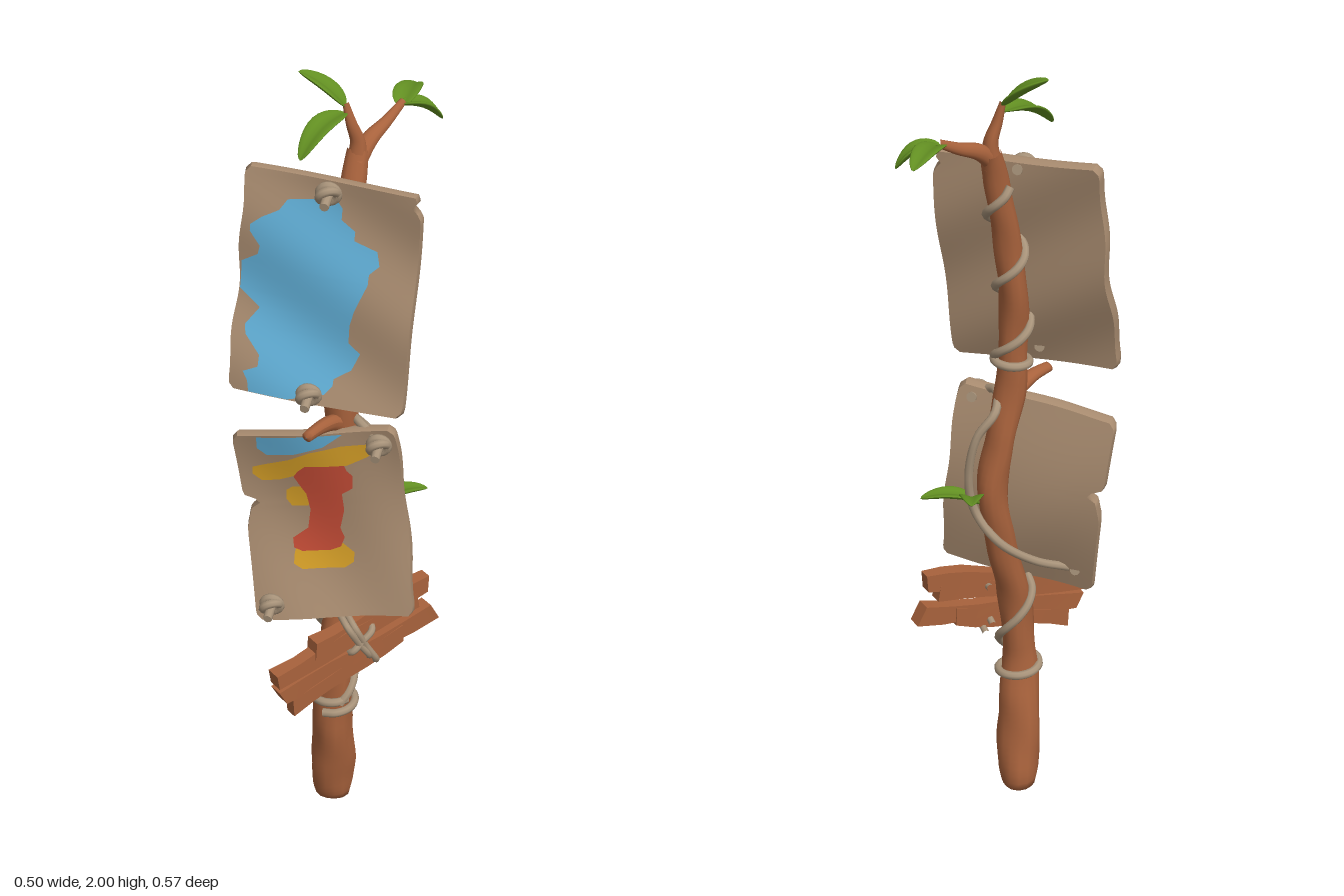
import * as THREE from 'three';

const mat = (name, color, side = THREE.FrontSide) => {
  const m = new THREE.MeshStandardMaterial({ color, side });
  m.name = name;
  return m;
};
const V = (a) => new THREE.Vector3(a[0], a[1], a[2]);

// Trunk spine: x, y, z, radius
const TRUNK = [
  [0, 0.0, 0.05, 0.002], [0, 0.012, 0.05, 0.042], [0, 0.05, 0.053, 0.052], [0.002, 0.14, 0.07, 0.055],
  [0.005, 0.27, 0.088, 0.052], [0.01, 0.4, 0.1, 0.042], [0.02, 0.58, 0.088, 0.042], [0.045, 0.74, 0.05, 0.036],
  [0.062, 0.9, 0.025, 0.038], [0.045, 1.02, 0.04, 0.036], [0.025, 1.15, 0.06, 0.038], [0.018, 1.28, 0.06, 0.036],
  [0.012, 1.42, 0.047, 0.035], [0.028, 1.6, 0.028, 0.032], [0.045, 1.73, 0.0, 0.03], [0.052, 1.81, -0.025, 0.024],
];

// Tapered organic limb swept along [x, y, z, radius] points
function limb(pts, lump = 0.06, sides = 14) {
  const curve = new THREE.CatmullRomCurve3(pts.map(V));
  const n = pts.length * 6;
  const geo = new THREE.TubeGeometry(curve, n, 1, sides, false);
  const p = geo.attributes.position, v = new THREE.Vector3();
  for (let i = 0; i <= n; i++) {
    const c = curve.getPointAt(i / n);
    const t = curve.getUtoTmapping(i / n) * (pts.length - 1);
    const k = Math.min(Math.floor(t), pts.length - 2);
    const r = THREE.MathUtils.lerp(pts[k][3], pts[k + 1][3], t - k);
    for (let j = 0; j <= sides; j++) {
      const id = i * (sides + 1) + j, a = (j / sides) * Math.PI * 2;
      const s = r * (1 + lump * Math.sin(3 * a + c.y * 14) + lump * 0.7 * Math.sin(2 * a - c.y * 31));
      v.fromBufferAttribute(p, id).sub(c).multiplyScalar(s).add(c);
      p.setXYZ(id, v.x, v.y, v.z);
    }
  }
  geo.computeVertexNormals();
  return geo;
}

// Point on a warped board: u left to right, v bottom to top, d outward from the front
function boardPoint(b, u, v, d) {
  const bottom = V(b.bl).lerp(V(b.br), u), top = V(b.tl).lerp(V(b.tr), u);
  const n = V(b.br).sub(V(b.bl)).cross(V(b.tl).sub(V(b.bl))).normalize();
  return bottom.lerp(top, v).addScaledVector(n, b.bend(u, v) + d);
}

function boardGeometry(b) {
  const geo = new THREE.BoxGeometry(1, 1, 1, 32, 40, 2);
  const p = geo.attributes.position;
  for (let i = 0; i < p.count; i++) {
    const v = p.getY(i) + 0.5, w = p.getZ(i);
    const e = Math.max(0, 0.05 - Math.min(v, 1 - v)) / 0.05;
    const round = 0.035 * (1 - Math.sqrt(1 - e * e));
    const lo = round + b.left(v), hi = 1 - round - b.right(v);
    let u = lo + (hi - lo) * (p.getX(i) + 0.5);
    const bevel = Math.abs(w) > 0.4 ? 0.008 : 0;
    u += (0.5 - u) * bevel * 2;
    const q = boardPoint(b, u, v + (0.5 - v) * bevel * 2, (w - 0.5) * b.thick);
    p.setXYZ(i, q.x, q.y, q.z);
  }
  geo.computeVertexNormals();
  return geo;
}

// Thin paint skin on a board, from rows of [v, uStart, uEnd]
function paintGeometry(b, rows, lift) {
  const N = 10, S = 4, pos = [], idx = [];
  const total = (rows.length - 1) * S;
  for (let i = 0; i <= total; i++) {
    const k = Math.min(Math.floor(i / S), rows.length - 2), f = i / S - k;
    const [v, a, c] = rows[k].map((x, m) => THREE.MathUtils.lerp(x, rows[k + 1][m], f));
    for (let j = 0; j <= N; j++) {
      pos.push(...boardPoint(b, a + ((c - a) * j) / N, v, lift).toArray());
      if (i < total && j < N) {
        const q = i * (N + 1) + j, r = q + N + 1;
        idx.push(q, r, q + 1, r, r + 1, q + 1);
      }
    }
  }
  const geo = new THREE.BufferGeometry();
  geo.setAttribute('position', new THREE.Float32BufferAttribute(pos, 3));
  geo.setIndex(idx);
  geo.computeVertexNormals();
  return geo;
}

// Arched, creased leaf from base to tip
function leafGeometry(base, tip, width, arch) {
  const geo = new THREE.SphereGeometry(1, 16, 14);
  const p = geo.attributes.position;
  const d = V(tip).sub(V(base)), len = d.length();
  d.normalize();
  const side = d.clone().cross(new THREE.Vector3(0, 1, 0)).normalize();
  const n = side.clone().cross(d);
  for (let i = 0; i < p.count; i++) {
    const t = (p.getY(i) + 1) / 2, x = p.getX(i) * (1.25 - 0.5 * t);
    const h = p.getZ(i) * 0.007 + arch * Math.sin(Math.PI * t) + 0.012 * Math.abs(x);
    p.setXYZ(i, x * width / 2, t * len, h);
  }
  geo.applyMatrix4(new THREE.Matrix4().makeBasis(side, d, n).setPosition(V(base)));
  geo.computeVertexNormals();
  return geo;
}

const rope = (pts, r = 0.011) =>
  new THREE.TubeGeometry(new THREE.CatmullRomCurve3(pts.map(V)), pts.length * 6, r, 8, false);

// Coil around the trunk between two heights
function coil(y0, y1, turns, phase, gap = 0.006) {
  const pts = [], n = Math.ceil(Math.abs(turns) * 10);
  for (let i = 0; i <= n; i++) {
    const y = y0 + ((y1 - y0) * i) / n, a = phase + (turns * Math.PI * 2 * i) / n;
    const k = TRUNK.findIndex((q) => q[1] > y), A = TRUNK[k - 1], B = TRUNK[k];
    const c = A.map((x, m) => THREE.MathUtils.lerp(x, B[m], (y - A[1]) / (B[1] - A[1])));
    pts.push([c[0] + (c[3] + gap) * Math.cos(a), y, c[2] + (c[3] + gap) * Math.sin(a)]);
  }
  return rope(pts);
}

export function createModel() {
  const bark = mat('bark', 0xa8623c), wood = mat('boardWood', 0xa98c70), cord = mat('cord', 0xa8937a);
  const green = mat('leafGreen', 0x639022);
  const blue = mat('bluePaint', 0x62b0d8, THREE.DoubleSide);
  const yellow = mat('yellowPaint', 0xd8a128, THREE.DoubleSide);
  const red = mat('redPaint', 0xc44c36, THREE.DoubleSide);
  const group = new THREE.Group();
  const add = (name, geo, m) => {
    const mesh = new THREE.Mesh(geo, m);
    mesh.name = name;
    group.add(mesh);
    return mesh;
  };

  // Trunk, forked top, side spike and twig
  add('trunk', limb(TRUNK), bark);
  add('frontBranch', limb([[0.05, 1.77, -0.015, 0.024], [0.052, 1.83, -0.02, 0.018], [0.038, 1.88, -0.012, 0.013], [0.025, 1.93, -0.01, 0.007]]), bark);
  add('backBranch', limb([[0.05, 1.78, -0.01, 0.022], [0.075, 1.82, -0.05, 0.02], [0.11, 1.845, -0.1, 0.014], [0.145, 1.875, -0.15, 0.009]]), bark);
  add('spike', limb([[0.03, 1.13, 0.06, 0.026], [0.005, 1.155, 0.1, 0.02], [-0.02, 1.165, 0.145, 0.016], [-0.045, 1.165, 0.19, 0.013], [-0.047, 1.165, 0.194, 0.001]]), bark);
  add('twig', limb([[0.06, 0.87, 0.025, 0.009], [0.085, 0.872, 0.01, 0.007], [0.11, 0.88, -0.01, 0.005]]), green);

  // Leaves
  [
    [[0.025, 1.92, -0.01], [-0.082, 1.995, -0.025], 0.065, 0.006],
    [[0.025, 1.905, -0.01], [-0.065, 1.84, 0.112], 0.066, 0.02],
    [[0.14, 1.865, -0.14], [0.17, 1.862, -0.285], 0.062, 0.012],
    [[0.14, 1.87, -0.145], [0.235, 1.82, -0.185], 0.05, 0.016],
    [[0.105, 0.875, -0.01], [0.068, 0.965, -0.178], 0.06, 0.012],
    [[0.1, 0.875, 0.005], [0.225, 0.893, -0.045], 0.055, 0.01],
  ].forEach((l, i) => add(`leaf${i + 1}`, leafGeometry(...l), green));

  // Boards
  const upper = {
    tl: [-0.205, 1.787, 0.03], tr: [0.215, 1.762, 0.11], br: [0.175, 1.21, 0.178], bl: [-0.25, 1.235, 0.1], thick: 0.032,
    bend: (u, v) => 0.009 * Math.sin(v * 10 + u * 4) - 0.012 * Math.sin(Math.PI * v),
    left: (v) => 0.008 * Math.sin(v * 17) + 0.008,
    right: (v) => 0.05 * Math.exp(-(((v - 0.95) / 0.025) ** 2)),
  };
  const lower = {
    tl: [-0.242, 1.1, 0.095], tr: [0.158, 1.16, 0.13], br: [0.217, 0.645, 0.155], bl: [-0.182, 0.59, 0.13], thick: 0.034,
    bend: (u, v) => -0.04 * Math.sin(Math.PI * v) + 0.006 * Math.sin(u * 7 + v * 5),
    left: (v) => 0.09 * Math.exp(-(((v - 0.61) / 0.025) ** 2)) + 0.03 * Math.exp(-(((v - 0.56) / 0.06) ** 2)),
    right: (v) => 0.008 + 0.008 * Math.sin(v * 13),
  };
  add('upperBoard', boardGeometry(upper), wood);
  add('lowerBoard', boardGeometry(lower), wood);

  // Paint patches
  add('upperBluePaint', paintGeometry(upper, [
    [0.012, 0.14, 0.36], [0.06, 0.13, 0.56], [0.1, 0.1, 0.6], [0.13, 0.18, 0.6], [0.18, 0.18, 0.69], [0.26, 0.09, 0.73],
    [0.3, 0.08, 0.66], [0.38, 0.15, 0.66], [0.45, 0.03, 0.68], [0.575, 0.03, 0.74], [0.62, 0.12, 0.74], [0.66, 0.13, 0.79],
    [0.72, 0.07, 0.77], [0.75, 0.07, 0.64], [0.79, 0.13, 0.64], [0.83, 0.22, 0.56], [0.88, 0.26, 0.56], [0.9, 0.4, 0.54], [0.94, 0.44, 0.52],
  ], 0.003), blue);
  add('lowerBluePaint', paintGeometry(lower, [[0.88, 0.2, 0.36], [0.92, 0.15, 0.55], [0.985, 0.16, 0.68]], 0.003), blue);
  add('yellowBand', paintGeometry(lower, [
    [0.73, 0.14, 0.24], [0.77, 0.09, 0.42], [0.81, 0.1, 0.68], [0.85, 0.33, 0.81], [0.89, 0.46, 0.86], [0.92, 0.66, 0.84],
  ], 0.004), yellow);
  add('yellowDot', paintGeometry(lower, [[0.58, 0.3, 0.4], [0.62, 0.27, 0.42], [0.67, 0.28, 0.42], [0.69, 0.32, 0.38]], 0.004), yellow);
  add('yellowFoot', paintGeometry(lower, [[0.25, 0.32, 0.58], [0.28, 0.27, 0.64], [0.33, 0.28, 0.65], [0.38, 0.3, 0.58]], 0.004), yellow);
  add('redPaint', paintGeometry(lower, [
    [0.34, 0.33, 0.5], [0.36, 0.28, 0.57], [0.41, 0.28, 0.6], [0.46, 0.38, 0.58], [0.56, 0.41, 0.62], [0.65, 0.4, 0.62],
    [0.68, 0.38, 0.69], [0.75, 0.34, 0.7], [0.78, 0.37, 0.67], [0.81, 0.42, 0.66],
  ], 0.005), red);

  // Pegs with cord knots
  [[upper, 0.48, 0.945], [upper, 0.48, 0.06], [lower, 0.89, 0.925], [lower, 0.12, 0.1]].forEach(([b, u, v], i) => {
    const pin = new THREE.Group();
    pin.name = `peg${i + 1}`;
    const peg = new THREE.Mesh(new THREE.CylinderGeometry(0.011, 0.013, 0.1, 10).rotateX(Math.PI / 2), cord);
    peg.name = 'pegShaft';
    peg.position.z = 0.012;
    const loop = new THREE.Mesh(new THREE.TorusGeometry(0.021, 0.011, 8, 18), cord);
    loop.name = 'pegLoop';
    loop.position.z = 0.01;
    const cross = loop.clone();
    cross.rotation.set(0.5, 0.4, 0);
    cross.position.z = 0.018;
    pin.add(peg, loop, cross);
    pin.position.copy(boardPoint(b, u, v, 0));
    pin.rotation.set(0.2, -0.1, 0);
    group.add(pin);
  });

  // Bundle of split planks: left x, y, right x, y
  const slope = (x) => 0.172 - 0.833 * x;
  [[-0.035, 0.565, 0.225, 0.64], [-0.12, 0.517, 0.2, 0.605], [-0.11, 0.468, 0.24, 0.548], [-0.085, 0.424, 0.165, 0.52]]
    .forEach(([x0, y0, x1, y1], i) => {
      const a = new THREE.Vector3(x0, y0, slope(x0)), c = new THREE.Vector3(x1, y1, slope(x1));
      const geo = new THREE.BoxGeometry(0.036, 0.046, a.distanceTo(c), 1, 1, 6);
      const p = geo.attributes.position;
      for (let k = 0; k < p.count; k++) {
        const z = p.getZ(k);
        p.setX(k, p.getX(k) * (1 + 0.12 * Math.sin(z * 25 + i)));
        p.setY(k, p.getY(k) * (1 + 0.14 * Math.sin(z * 19 + i * 2)) + 0.004 * Math.sin(z * 21 + i));
        p.setZ(k, z + p.getY(k) * 0.35 * Math.sin(i * 2 + 1));
      }
      geo.computeVertexNormals();
      const plank = add(`plank${i + 1}`, geo, bark);
      plank.position.copy(a).add(c).multiplyScalar(0.5);
      plank.lookAt(c);
    });

  // Cords: trunk coils, loop behind the lower board, plank lashing
  add('lowCoil', coil(0.33, 0.37, -1.2, 2), cord);
  add('middleCoil', coil(0.36, 0.62, -0.8, 1.2), cord);
  add('upperCoil', coil(1.22, 1.72, -2.6, 0.9), cord);
  add('upperRing', coil(1.23, 1.25, 1.05, 0), cord);
  add('backLoop', rope([[-0.12, 0.655, 0.1], [-0.04, 0.7, 0.04], [0.04, 0.77, -0.005], [0.1, 0.85, 0.0], [0.112, 0.95, -0.01], [0.09, 1.06, -0.012], [0.05, 1.12, 0.01], [0.06, 1.15, 0.07], [0.11, 1.125, 0.115]]), cord);
  [[0.05, 0.605, 0.1, 0.5], [0.065, 0.6, 0.115, 0.48], [0.105, 0.575, 0.06, 0.53]].forEach(([x0, y0, x1, y1], i) => {
    const mid = (x0 + x1) / 2;
    add(`lashing${i + 1}`, rope([
      [x0 - 0.03, y0 + 0.015, slope(x0) - 0.02], [x0, y0, slope(x0) + 0.032], [mid, (y0 + y1) / 2, slope(mid) + 0.037],
      [x1, y1, slope(x1) + 0.032], [x1 - 0.03, y1 - 0.02, slope(x1) - 0.02],
    ], 0.009), cord);
  });
  return group;
}
